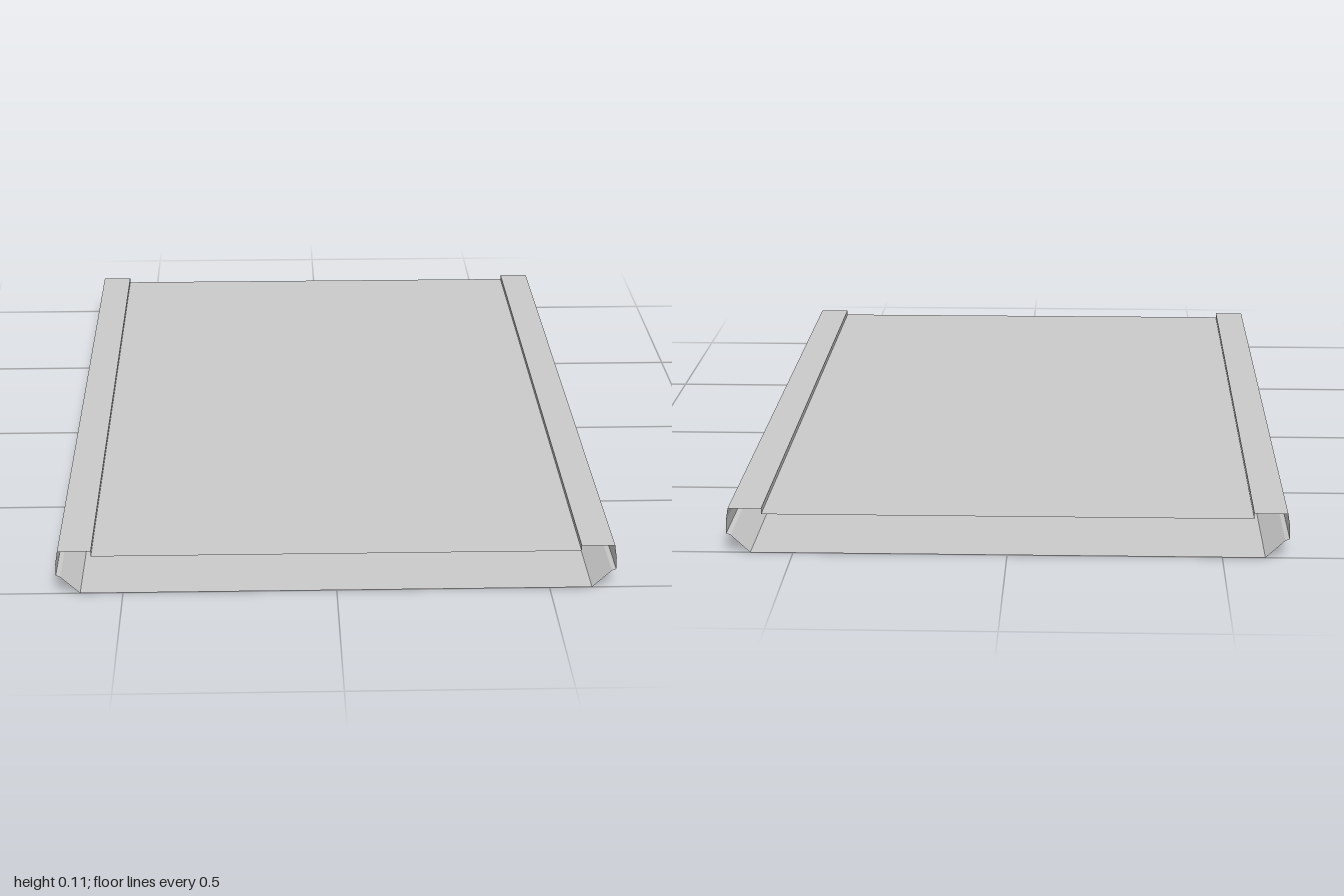
import * as THREE from 'three';

const LENGTH = 2;
const material = new THREE.MeshStandardMaterial({
  color: 0xcccccc, flatShading: true, side: THREE.DoubleSide,
});

// Sweeps an open [x, y] profile along z into a folded sheet without end caps.
function foldedSheet(name, profile) {
  const positions = [];
  for (let i = 0; i < profile.length - 1; i++) {
    const [ax, ay] = profile[i];
    const [bx, by] = profile[i + 1];
    const f = LENGTH / 2;
    positions.push(
      ax, ay, f, ax, ay, -f, bx, by, -f,
      ax, ay, f, bx, by, -f, bx, by, f,
    );
  }
  const geometry = new THREE.BufferGeometry();
  geometry.setAttribute('position', new THREE.Float32BufferAttribute(positions, 3));
  geometry.computeVertexNormals();
  const mesh = new THREE.Mesh(geometry, material);
  mesh.name = name;
  return mesh;
}

export function createModel() {
  const group = new THREE.Group();
  group.name = 'slat';

  // Side rail: sloped flank, small lip, outer wall, flat top and step down to the deck
  const rail = [
    [0.6, 0], [0.645, 0.042], [0.655, 0.046], [0.655, 0.075],
    [0.65, 0.107], [0.572, 0.107], [0.572, 0.094],
  ];
  const mirrored = rail.map(([x, y]) => [-x, y]).reverse();

  group.add(foldedSheet('leftRail', rail));
  group.add(foldedSheet('rightRail', mirrored));

  // Recessed top deck and flat base between the rails
  group.add(foldedSheet('deck', [[0.572, 0.094], [-0.572, 0.094]]));
  group.add(foldedSheet('base', [[-0.6, 0], [0.6, 0]]));

  return group;
}
